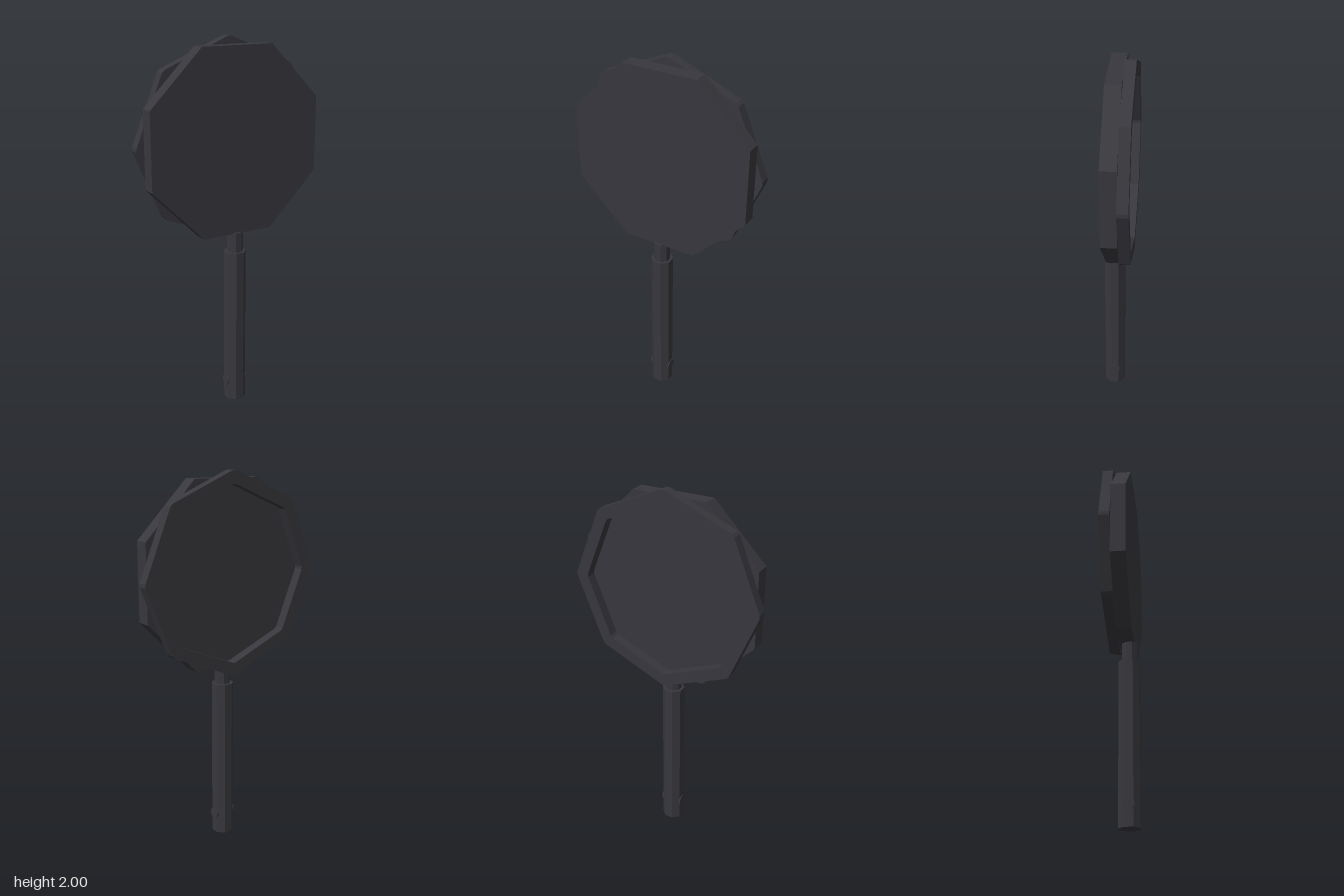
import * as THREE from 'three';

const CENTER_Y = 1.47;
const FLAT = Math.cos(Math.PI / 8); // flat-to-corner ratio of an octagon

// Octagonal prism along y, flats facing the axes; size is the distance to a flat
function octagonPrism(flatRadius, height) {
  const r = flatRadius / FLAT;
  return new THREE.CylinderGeometry(r, r, height, 8).rotateY(Math.PI / 8);
}

// Octagon with corners on the axes, each corner cut slightly
function cutOctagon(radius, cut) {
  const points = [];
  for (let i = 0; i < 8; i++) {
    const a = (i * Math.PI) / 4;
    for (const s of [-1, 1]) {
      points.push(new THREE.Vector2(
        Math.cos(a) * radius - Math.sin(a) * cut * s,
        Math.sin(a) * radius + Math.cos(a) * cut * s
      ));
    }
  }
  return points;
}

export function createModel() {
  const model = new THREE.Group();
  const charcoal = new THREE.MeshStandardMaterial({ color: 0x38373d, flatShading: true });
  charcoal.name = 'charcoal';

  function add(name, geometry, x, y, z) {
    const mesh = new THREE.Mesh(geometry, charcoal);
    mesh.name = name;
    mesh.position.set(x, y, z);
    model.add(mesh);
  }

  // Head: thick front plate
  add('frontPlate', octagonPrism(0.49, 0.08).rotateX(Math.PI / 2), 0, CENTER_Y, 0.015);

  // Raised rim on the back, turned an eighth against the plate
  const rim = new THREE.Shape(cutOctagon(0.53, 0.01));
  rim.holes.push(new THREE.Path(cutOctagon(0.462, 0.008).reverse()));
  add('backRim', new THREE.ExtrudeGeometry(rim, { depth: 0.056, bevelEnabled: false }), 0, CENTER_Y, -0.08);

  // Neck and grip
  add('neck', octagonPrism(0.04, 0.13), 0, 0.92, 0.027);
  add('handle', octagonPrism(0.055, 0.875), 0, 0.4375, 0.025);

  // Cross pin near the end of the grip
  add('handlePin', octagonPrism(0.028, 0.122).rotateZ(Math.PI / 2), 0, 0.112, 0.025);

  return model;
}
